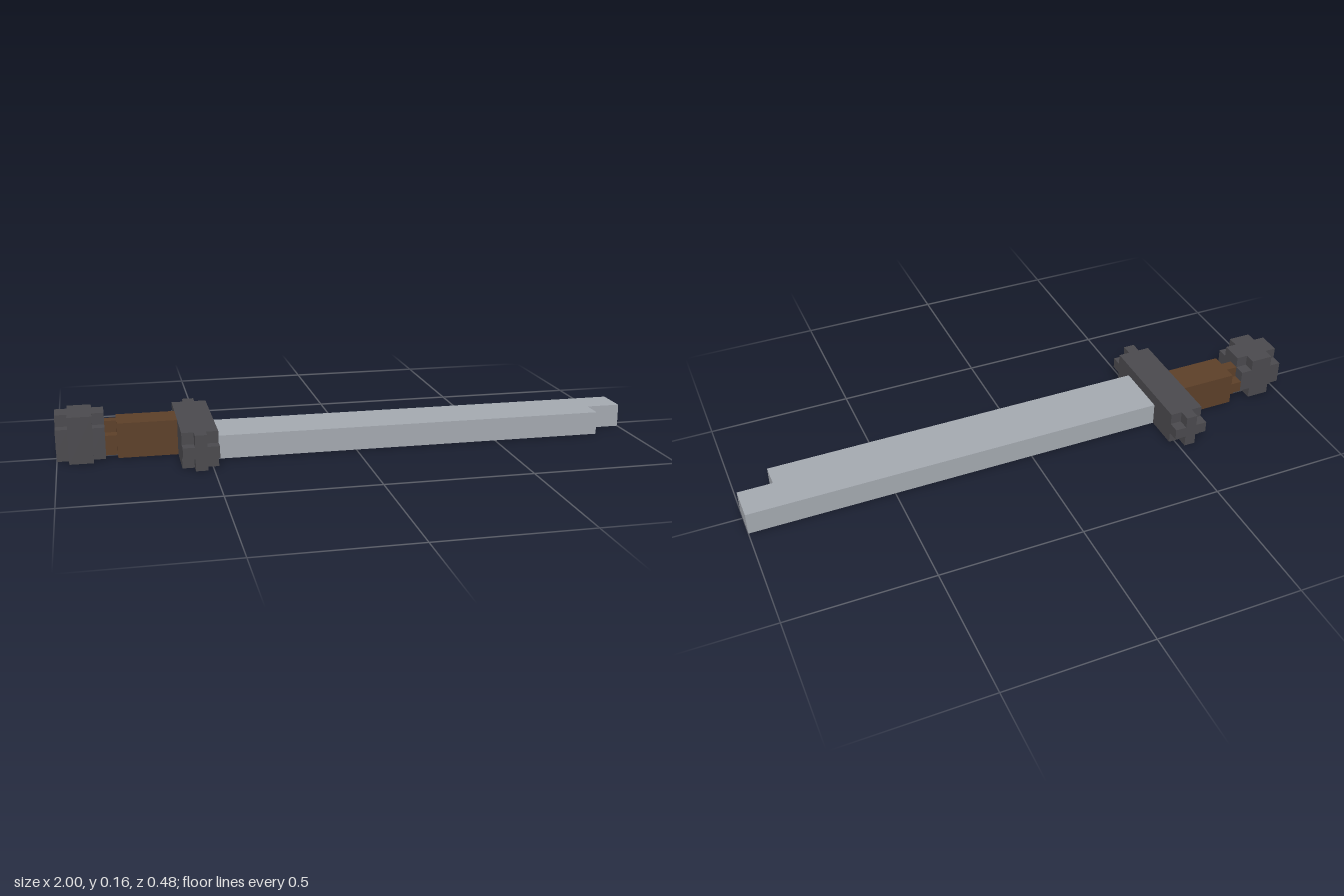
import * as THREE from 'three';

const U = 0.04; // one block unit

function material(name, color) {
  const m = new THREE.MeshStandardMaterial({ color });
  m.name = name;
  return m;
}

// Cross-shaped slab, one unit thick along x: a rectangle without its corner blocks
function crossSlab(height, depth) {
  const h = height / 2, d = depth / 2;
  const points = [
    [d - U, -h], [d - U, -h + U], [d, -h + U], [d, h - U], [d - U, h - U], [d - U, h],
    [-d + U, h], [-d + U, h - U], [-d, h - U], [-d, -h + U], [-d + U, -h + U], [-d + U, -h],
  ].map(([z, y]) => new THREE.Vector2(z, y));
  return new THREE.ExtrudeGeometry(new THREE.Shape(points), { depth: U, bevelEnabled: false })
    .rotateY(Math.PI / 2);
}

// Block standing on y = 0, with corner blocks missing at the chosen ends
function notchedBlock(name, mat, [x0, x1], height, [z0, z1], notchEnd) {
  const group = new THREE.Group();
  group.name = name;
  const depth = z1 - z0, y = height / 2, z = (z0 + z1) / 2;
  const add = (part, geometry, x) => {
    const mesh = new THREE.Mesh(geometry, mat);
    mesh.name = name + part;
    mesh.position.set(x, y, z);
    group.add(mesh);
  };
  const a = x0 + U, b = notchEnd ? x1 - U : x1;
  add('Core', new THREE.BoxGeometry(b - a, height, depth), (a + b) / 2);
  add('RearCap', crossSlab(height, depth), x0);
  if (notchEnd) add('FrontCap', crossSlab(height, depth), b);
  return group;
}

export function createModel() {
  const steel = material('steel', 0xa3a8af);
  const iron = material('darkIron', 0x4a494d);
  const leather = material('brownLeather', 0x5c3f28);

  const sword = new THREE.Group();
  sword.name = 'sword';

  // Hilt
  sword.add(
    notchedBlock('pommel', iron, [-1, -0.84], 0.16, [-0.08, 0.08], true),
    notchedBlock('grip', leather, [-0.84, -0.6], 0.12, [-0.08, 0.04], false),
    notchedBlock('guard', iron, [-0.6, -0.48], 0.12, [-0.24, 0.24], true),
  );

  // Blade with a stepped tip, outlined from above
  const outline = [[-0.48, -0.12], [0.88, -0.12], [0.88, -0.04], [1, -0.04], [1, 0.08], [-0.48, 0.08]]
    .map(([x, y]) => new THREE.Vector2(x, y));
  const blade = new THREE.Mesh(
    new THREE.ExtrudeGeometry(new THREE.Shape(outline), { depth: 0.08, bevelEnabled: false })
      .rotateX(-Math.PI / 2),
    steel,
  );
  blade.name = 'blade';
  sword.add(blade);

  return sword;
}
